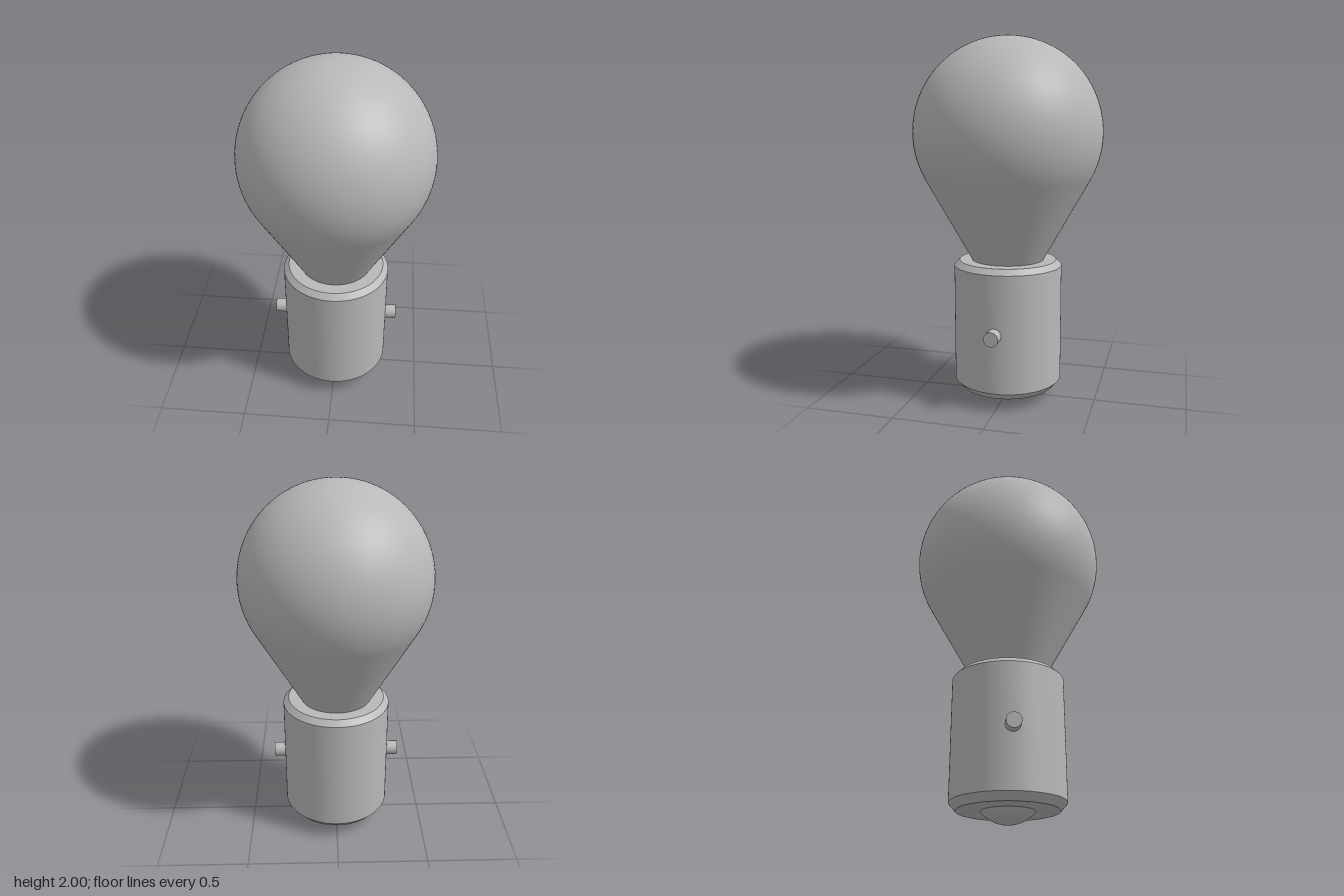
import * as THREE from 'three';
import { toCreasedNormals } from 'three/addons/utils/BufferGeometryUtils.js';

const SEGMENTS = 96;

// Points along a circular arc in the lathe plane, angles measured up from horizontal
function arc(radius, centreY, from, to, steps) {
  return Array.from({ length: steps + 1 }, (_, i) => {
    const a = from + (to - from) * i / steps;
    return new THREE.Vector2(Math.max(0, radius * Math.cos(a)), centreY + radius * Math.sin(a));
  });
}

export function createModel() {
  const group = new THREE.Group();
  const grey = new THREE.MeshStandardMaterial({ color: 0xb8b8b8 });
  grey.name = 'plain grey';

  function add(name, geometry) {
    const mesh = new THREE.Mesh(geometry, grey);
    mesh.name = name;
    group.add(mesh);
    return mesh;
  }

  // Glass bulb: straight neck running tangent into a sphere, with a tiny flat tip
  const tipRadius = 0.045;
  const tipAngle = Math.acos(tipRadius / 0.517);
  const bulbProfile = [
    new THREE.Vector2(0.2, 0.785),
    ...arc(0.517, 1.483, -Math.PI * 0.164, tipAngle, 48),
  ];
  add('glassBulb', new THREE.LatheGeometry(bulbProfile, SEGMENTS));
  const tip = add('bulbTip', new THREE.CircleGeometry(tipRadius, SEGMENTS));
  tip.rotation.x = -Math.PI / 2;
  tip.position.y = 1.483 + 0.517 * Math.sin(tipAngle);

  // Metal cap: cylinder with chamfered rims and flat ends
  const capProfile = [
    [0, 0.065], [0.265, 0.065], [0.3, 0.105], [0.3, 0.755], [0.27, 0.785], [0, 0.785],
  ].map(([r, y]) => new THREE.Vector2(r, y));
  add('bayonetCap', toCreasedNormals(new THREE.LatheGeometry(capProfile, SEGMENTS), 0.5));

  // Domed contact under the cap
  const domeRadius = 0.183;
  add('baseContact', new THREE.LatheGeometry(
    arc(domeRadius, domeRadius, -Math.PI / 2, -Math.asin(0.118 / domeRadius), 14), SEGMENTS));

  // Locking pins on both sides
  for (const side of [-1, 1]) {
    const pin = add(side > 0 ? 'leftPin' : 'rightPin', new THREE.CylinderGeometry(0.04, 0.04, 0.1, 32));
    pin.rotation.z = Math.PI / 2;
    pin.position.set(side * 0.31, 0.427, 0);
  }

  return group;
}
